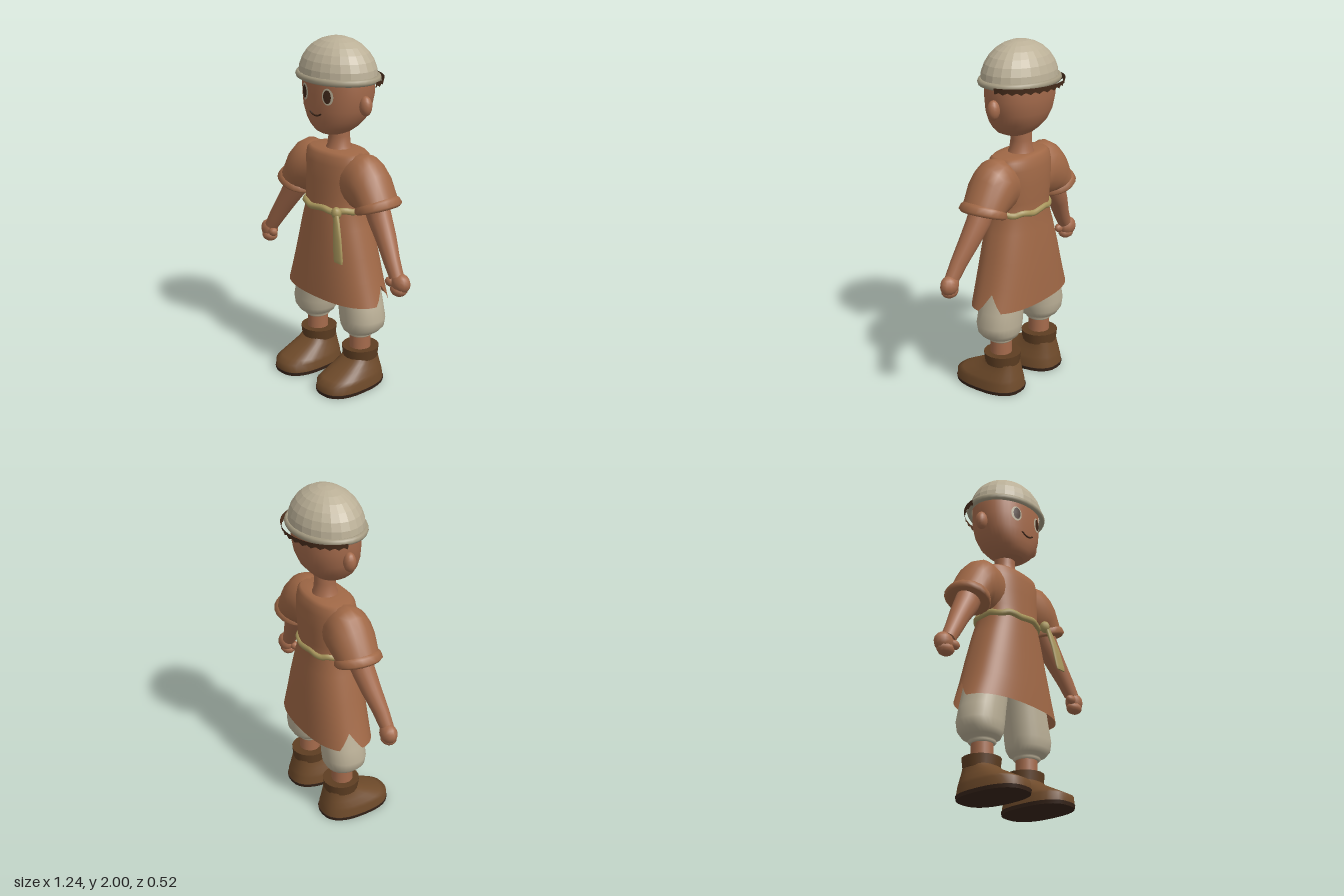
import * as THREE from 'three';

const mat = (name, color, side = THREE.FrontSide) => {
  const m = new THREE.MeshStandardMaterial({ color, side });
  m.name = name;
  return m;
};
const V = (x, y, z) => new THREE.Vector3(x, y, z);
const spow = (v, p) => Math.sign(v) * Math.abs(v) ** p;

// Skin through closed rings; ends are capped unless left open.
function loft(rings, openStart = false, openEnd = false) {
  const n = rings[0].length, pos = [], idx = [];
  rings.forEach(r => r.forEach(p => pos.push(p.x, p.y, p.z)));
  for (let i = 0; i < rings.length - 1; i++)
    for (let j = 0; j < n; j++) {
      const a = i * n + j, b = i * n + (j + 1) % n;
      idx.push(a, b, b + n, a, b + n, a + n);
    }
  const cap = (ring, flip) => {
    const base = pos.length / 3, c = V(0, 0, 0);
    ring.forEach(p => { pos.push(p.x, p.y, p.z); c.addScaledVector(p, 1 / n); });
    pos.push(c.x, c.y, c.z);
    for (let j = 0; j < n; j++) {
      const a = base + j, b = base + (j + 1) % n;
      idx.push(base + n, flip ? b : a, flip ? a : b);
    }
  };
  if (!openStart) cap(rings[0], true);
  if (!openEnd) cap(rings[rings.length - 1], false);
  const g = new THREE.BufferGeometry();
  g.setAttribute('position', new THREE.Float32BufferAttribute(pos, 3));
  g.setIndex(idx);
  g.computeVertexNormals();
  return g;
}

// Horizontal ring from a row [y, half width, front z, back z, centre x].
function ring([y, hx, zf, zb, cx = 0], n = 2, seg = 32) {
  return Array.from({ length: seg }, (_, j) => {
    const a = j / seg * Math.PI * 2;
    return V(cx + hx * spow(Math.sin(a), 2 / n), y, (zf + zb) / 2 + (zf - zb) / 2 * spow(Math.cos(a), 2 / n));
  });
}
const stack = (rows, n, seg) => loft(rows.map(r => ring(r, n, seg)));

// Limb section from its outer and inner edge: [ox, oy, ix, iy, z, half depth].
const limb = rows => loft(rows.map(([ox, oy, ix, iy, z, hz]) =>
  Array.from({ length: 20 }, (_, j) => {
    const a = j / 20 * Math.PI * 2, c = Math.cos(a) / 2;
    return V((ox + ix) / 2 + (ox - ix) * c, (oy + iy) / 2 + (oy - iy) * c, z + hz * Math.sin(a));
  })));

const blob = (x, y, z, rx, ry, rz, w = 14, h = 10) =>
  new THREE.SphereGeometry(1, w, h).scale(rx, ry, rz).translate(x, y, z);

function mirrored(g) {
  const m = g.clone().scale(-1, 1, 1), i = m.index.array;
  for (let k = 0; k < i.length; k += 3) [i[k], i[k + 1]] = [i[k + 1], i[k]];
  return m;
}

const HEAD = [
  [1.477, 0.07, 0.08, -0.07], [1.49, 0.1, 0.1, -0.09], [1.52, 0.138, 0.117, -0.125],
  [1.56, 0.172, 0.13, -0.16], [1.62, 0.202, 0.138, -0.185], [1.7, 0.216, 0.14, -0.2],
  [1.8, 0.22, 0.138, -0.2], [1.86, 0.2, 0.13, -0.19]];

// Depth of the face at a point, for laying features on it.
function faceZ(x, y) {
  const i = Math.max(1, HEAD.findIndex(r => r[0] >= y)), a = HEAD[i - 1], b = HEAD[i];
  const t = (y - a[0]) / (b[0] - a[0]);
  const [, hx, zf, zb] = a.map((v, k) => v + (b[k] - v) * t);
  return (zf + zb) / 2 + (zf - zb) / 2 * (1 - Math.abs(x / hx) ** 2.2) ** (1 / 2.2);
}

export function createModel() {
  const root = new THREE.Group();
  root.name = 'villager';
  const skin = mat('skin', 0xa56b4c), cloth = mat('tunic cloth', 0xa06846, THREE.DoubleSide);
  const linen = mat('linen', 0xbbb097), trim = mat('hat trim', 0xa59b82);
  const leather = mat('boot leather', 0x6e4a2a), cuffLeather = mat('boot cuff leather', 0x5e3e22);
  const soleMat = mat('sole', 0x38251a), sash = mat('sash', 0xa8965c);
  const hairMat = mat('hair', 0x4c301e, THREE.DoubleSide), dark = mat('eye brown', 0x40281a);

  const add = (name, g, m) => {
    const mesh = new THREE.Mesh(g, m);
    mesh.name = name;
    root.add(mesh);
  };
  const pair = (name, g, m) => {
    add(name + 'Left', g, m);
    add(name + 'Right', mirrored(g), m);
  };

  // Head, neck and ears
  add('head', stack(HEAD, 2.2, 40), skin);
  add('neck', stack([[1.36, 0.085, 0.045, -0.115], [1.4, 0.066, 0.028, -0.1],
    [1.45, 0.06, 0.022, -0.095], [1.53, 0.064, 0.025, -0.098]]), skin);
  pair('ear', blob(0.226, 1.655, -0.022, 0.038, 0.055, 0.034), skin);

  // Eyes laid on the face
  const eyePlate = (rx, ry, lift) => {
    const g = new THREE.RingGeometry(0.001, 1, 24, 4).scale(rx, ry, 1).translate(0.091, 1.705, 0);
    const p = g.attributes.position;
    for (let i = 0; i < p.count; i++) p.setZ(i, faceZ(p.getX(i), p.getY(i)) + lift);
    g.computeVertexNormals();
    return g;
  };
  pair('eyeWhite', eyePlate(0.034, 0.046, 0.004), linen);
  pair('pupil', eyePlate(0.023, 0.037, 0.007), dark);

  // Smile
  const smile = [-1, -0.5, 0, 0.5, 1].map(t => {
    const x = t * 0.046, y = 1.588 + 0.017 * t * t;
    return V(x, y, faceZ(x, y) + 0.001);
  });
  add('mouth', new THREE.TubeGeometry(new THREE.CatmullRomCurve3(smile), 16, 0.005, 6), dark);

  // Faceted cap with rolled brim
  const dome = new THREE.SphereGeometry(1, 24, 7, 0, Math.PI * 2, 0, Math.PI / 2)
    .scale(0.243, 0.207, 0.193).translate(0, 1.793, -0.026).toNonIndexed();
  dome.computeVertexNormals();
  add('hatDome', dome, linen);
  add('hatBrim', new THREE.TorusGeometry(0.247, 0.019, 8, 32).rotateX(Math.PI / 2)
    .scale(1, 1, 0.775).translate(0, 1.787, -0.028), trim);

  // Ragged hair edge behind the brim
  const hair = new THREE.CylinderGeometry(1, 0.97, 0.03, 28, 1, true, Math.PI * 0.54, Math.PI * 0.92)
    .scale(0.272, 1, 0.232).translate(0, 1.773, -0.028);
  const hp = hair.attributes.position;
  for (let i = 0; i < hp.count; i++)
    if (hp.getY(i) < 1.77) hp.setY(i, i % 2 ? 1.752 : 1.764);
  hair.computeVertexNormals();
  add('hairEdge', hair, hairMat);

  // Tunic, with a notch raised in the hem at each side
  const tunicRows = [
    [0.53, 0.352, 0.155, -0.21], [0.66, 0.308, 0.15, -0.203], [0.8, 0.268, 0.14, -0.192],
    [0.95, 0.225, 0.13, -0.175], [1.05, 0.192, 0.122, -0.16], [1.12, 0.195, 0.117, -0.163],
    [1.22, 0.205, 0.113, -0.166], [1.31, 0.21, 0.106, -0.163], [1.36, 0.205, 0.093, -0.15],
    [1.378, 0.185, 0.075, -0.135], [1.382, 0.08, 0.04, -0.11]];
  const tunicRings = tunicRows.map(r => ring(r, 2.4, 72));
  tunicRings[0].forEach(p => {
    const k = Math.max(0, 1 - Math.abs(p.z + 0.07) / 0.06);
    p.y += 0.1 * k;
    p.x *= 1 - 0.1 * k;
  });
  add('tunic', loft(tunicRings, true), cloth);

  // Sleeves with rolled cuffs
  pair('sleeve', limb([
    [0.12, 1.37, 0.12, 1.08, -0.026, 0.11], [0.19, 1.382, 0.165, 1.075, -0.026, 0.12],
    [0.245, 1.385, 0.185, 1.07, -0.026, 0.127], [0.3, 1.355, 0.195, 1.07, -0.026, 0.13],
    [0.35, 1.3, 0.205, 1.075, -0.026, 0.13], [0.42, 1.17, 0.22, 1.085, -0.026, 0.122]]), cloth);
  pair('sleeveCuff', limb([
    [0.41, 1.185, 0.22, 1.1, -0.026, 0.118], [0.43, 1.178, 0.21, 1.092, -0.026, 0.13],
    [0.452, 1.152, 0.206, 1.066, -0.026, 0.136], [0.44, 1.132, 0.215, 1.058, -0.026, 0.126],
    [0.41, 1.125, 0.25, 1.07, -0.026, 0.09]]), cloth);

  // Arms and hands
  pair('arm', limb([
    [0.39, 1.16, 0.25, 1.1, -0.015, 0.063], [0.42, 1.09, 0.285, 1.035, -0.013, 0.064],
    [0.472, 0.99, 0.368, 0.935, 0, 0.056], [0.53, 0.88, 0.445, 0.83, 0.02, 0.044],
    [0.57, 0.8, 0.495, 0.765, 0.028, 0.039]]), skin);
  pair('palm', blob(0.56, 0.752, 0.024, 0.06, 0.056, 0.046, 12, 8), skin);
  pair('fingers', blob(0.552, 0.713, 0.03, 0.052, 0.036, 0.043, 10, 7), skin);
  pair('thumb', blob(0.502, 0.75, 0.045, 0.034, 0.027, 0.025, 10, 7), skin);

  // Wavy sash with knot and hanging end
  const beltPts = ring([1.062, 0.19, 0.125, -0.158], 2.4, 28)
    .map((p, i) => V(p.x, p.y + 0.006 * Math.sin(i * 1.8), p.z));
  add('sashBelt', new THREE.TubeGeometry(new THREE.CatmullRomCurve3(beltPts, true), 84, 0.019, 8, true), sash);
  add('sashKnot', blob(0.16, 1.068, 0.128, 0.03, 0.035, 0.028, 10, 8), sash);
  add('sashEnd', stack([[0.81, 0.033, 0.186, 0.176, 0.234], [0.83, 0.037, 0.187, 0.17, 0.231],
    [0.94, 0.032, 0.174, 0.154, 0.207], [1.02, 0.023, 0.158, 0.136, 0.183],
    [1.07, 0.017, 0.148, 0.124, 0.165]], 2.4, 16), sash);

  // Baggy breeches gathered at the knee
  pair('breeches', stack([
    [0.305, 0.066, 0.034, -0.1, 0.187], [0.315, 0.075, 0.042, -0.108, 0.187],
    [0.328, 0.07, 0.038, -0.103, 0.187], [0.338, 0.102, 0.066, -0.135, 0.193],
    [0.37, 0.124, 0.082, -0.153, 0.2], [0.42, 0.134, 0.087, -0.158, 0.2],
    [0.5, 0.13, 0.085, -0.157, 0.185], [0.6, 0.124, 0.085, -0.155, 0.165],
    [0.75, 0.118, 0.08, -0.15, 0.135]], 2.2, 28), linen);
  pair('calf', new THREE.CylinderGeometry(0.06, 0.062, 0.16, 20).translate(0.185, 0.26, -0.034), skin);

  // Boots
  pair('boot', stack([
    [0.018, 0.135, 0.256, -0.17, 0.183], [0.065, 0.131, 0.254, -0.164, 0.183],
    [0.085, 0.124, 0.215, -0.158, 0.183], [0.12, 0.109, 0.145, -0.15, 0.182],
    [0.15, 0.097, 0.085, -0.142, 0.181], [0.175, 0.092, 0.055, -0.136, 0.181]], 2.5, 28), leather);
  pair('sole', stack([[0, 0.134, 0.256, -0.17, 0.183], [0.02, 0.138, 0.26, -0.174, 0.183]], 2.5, 28), soleMat);
  pair('bootCuff', new THREE.CylinderGeometry(0.107, 0.1, 0.062, 20)
    .translate(0.181, 0.195, -0.04), cuffLeather);

  return root;
}
